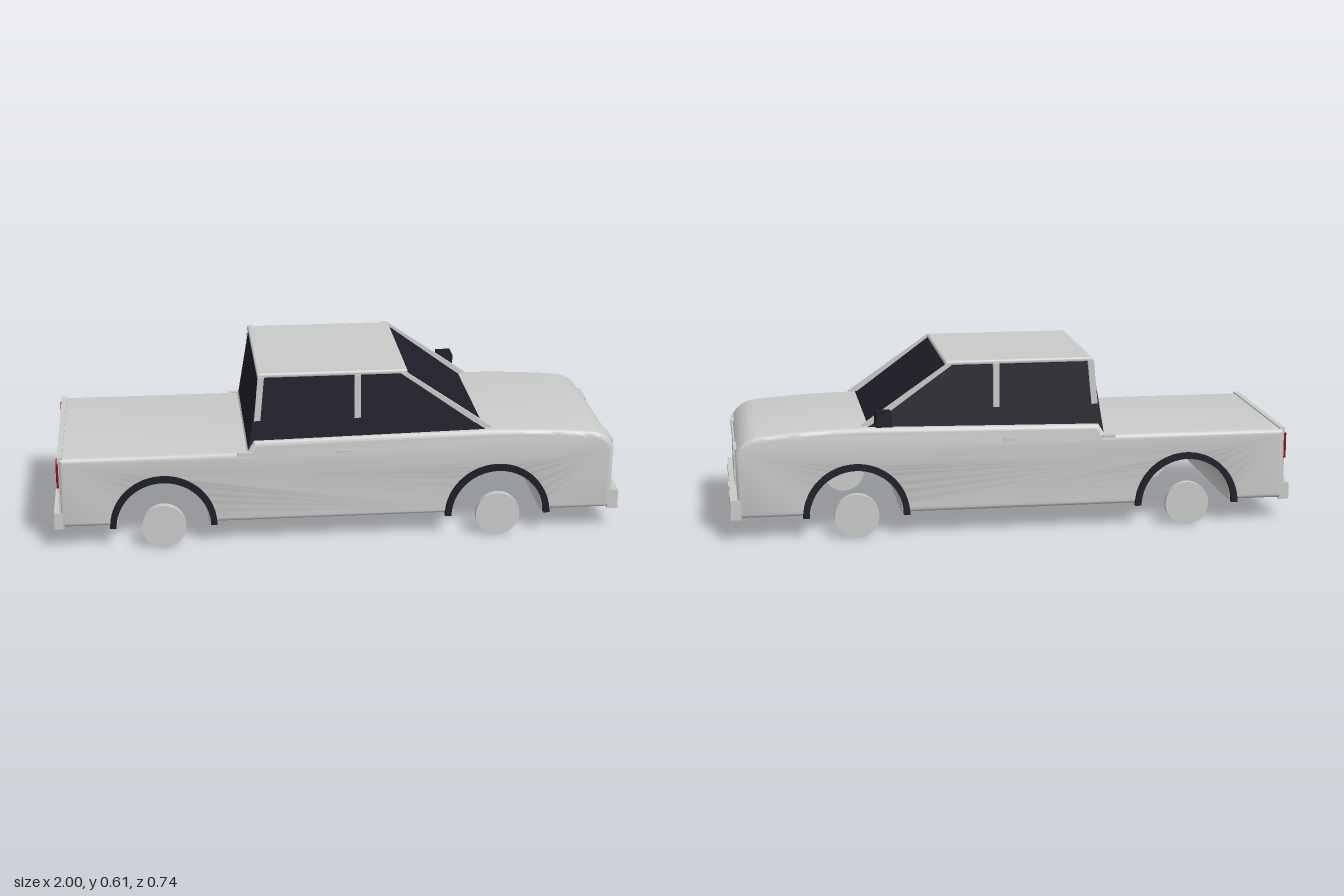
import * as THREE from 'three';
import { toCreasedNormals } from 'three/addons/utils/BufferGeometryUtils.js';
import { RoundedBoxGeometry } from 'three/addons/geometries/RoundedBoxGeometry.js';
import { ConvexGeometry } from 'three/addons/geometries/ConvexGeometry.js';

export function createModel() {
  const paint = new THREE.MeshStandardMaterial({ name: 'silver paint', color: 0xc9cbc9 });
  const dark = new THREE.MeshStandardMaterial({ name: 'dark glass and trim', color: 0x1d1d28 });
  const red = new THREE.MeshStandardMaterial({ name: 'tail light red', color: 0x8a0a1a });

  const model = new THREE.Group();
  model.name = 'pickup';
  const car = new THREE.Group();
  car.name = 'car';
  car.position.z = 0.03; // the single mirror shifts the centre
  model.add(car);

  const add = (name, geometry, material) => {
    const mesh = new THREE.Mesh(geometry, material);
    mesh.name = name;
    car.add(mesh);
    return mesh;
  };
  // Box from its limits on each axis
  const box = (name, material, [x0, x1], [y0, y1], [z0, z1]) => {
    const mesh = add(name, new THREE.BoxGeometry(x1 - x0, y1 - y0, z1 - z0), material);
    mesh.position.set((x0 + x1) / 2, (y0 + y1) / 2, (z0 + z1) / 2);
    return mesh;
  };
  const sideBox = (name, material, xs, ys, [a, b]) => {
    box(name + 'Left', material, xs, ys, [a, b]);
    box(name + 'Right', material, xs, ys, [-b, -a]);
  };

  const axles = [-0.62, 0.56];
  const floorY = 0.08;

  // Body: side profile with open wheel arches, rounded along both sides
  const profile = new THREE.Shape();
  profile.moveTo(-0.978, floorY);
  for (const x of axles) {
    profile.lineTo(x - 0.157, floorY);
    profile.absarc(x, floorY, 0.157, Math.PI, 0, true);
  }
  profile.lineTo(0.97, floorY);
  profile.lineTo(0.975, 0.31);
  profile.quadraticCurveTo(0.95, 0.36, 0.9, 0.368);
  profile.quadraticCurveTo(0.74, 0.386, 0.52, 0.388);
  profile.lineTo(-0.3, 0.374);
  profile.lineTo(-0.325, 0.334);
  profile.lineTo(-0.978, 0.334);
  profile.closePath();
  const bevel = 0.018;
  const body = new THREE.ExtrudeGeometry(profile, {
    depth: 0.652 - 2 * bevel, curveSegments: 24, bevelEnabled: true,
    bevelThickness: bevel, bevelSize: bevel, bevelOffset: -bevel, bevelSegments: 4,
  });
  body.translate(0, 0, -0.326 + bevel);
  add('body', toCreasedNormals(body, 0.6), paint);

  // Glass cabin, narrowing toward the roof
  const corners = [];
  for (const s of [-1, 1]) {
    for (const [x, y, z] of [[-0.322, 0.33, 0.311], [0.53, 0.375, 0.308], [0.235, 0.593, 0.291], [-0.28, 0.593, 0.291]]) {
      corners.push(new THREE.Vector3(x, y, s * z));
    }
  }
  add('cabinGlass', new ConvexGeometry(corners), dark);
  const roof = add('roof', new RoundedBoxGeometry(0.525, 0.018, 0.556, 3, 0.008), paint);
  roof.position.set(-0.022, 0.599, 0.0);

  // Pillars: thin upright plates along the side windows
  const pillars = {
    frontPillar: [[0.215, 0.602], [0.237, 0.602], [0.54, 0.392], [0.505, 0.392]],
    middlePillar: [[0.052, 0.6], [0.074, 0.6], [0.074, 0.445], [0.052, 0.445]],
    rearPillar: [[-0.283, 0.602], [-0.262, 0.602], [-0.276, 0.445], [-0.298, 0.445]],
  };
  for (const [name, points] of Object.entries(pillars)) {
    const shape = new THREE.Shape(points.map(([x, y]) => new THREE.Vector2(x, y)));
    for (const s of [-1, 1]) {
      const plate = new THREE.ExtrudeGeometry(shape, { depth: 0.014, bevelEnabled: false });
      plate.translate(0, 0, s * 0.298 - 0.007);
      add(name + (s > 0 ? 'Left' : 'Right'), plate, paint);
    }
  }

  // Wheels and dark arch trims
  for (const x of axles) {
    const arch = new THREE.Shape();
    arch.absarc(x, 0.075, 0.187, 0, Math.PI, false);
    arch.absarc(x, 0.075, 0.165, Math.PI, 0, true);
    arch.closePath();
    for (const s of [-1, 1]) {
      const trim = new THREE.ExtrudeGeometry(arch, { depth: 0.022, bevelEnabled: false, curveSegments: 24 });
      trim.translate(0, 0, s * 0.328 - 0.011);
      add('archTrim', toCreasedNormals(trim, 0.6), dark);
      const wheel = add('wheel', new THREE.CylinderGeometry(0.078, 0.078, 0.024, 40), paint);
      wheel.rotation.x = Math.PI / 2;
      wheel.position.set(x, 0.078, s * 0.33);
    }
  }

  // Front end
  box('frontBumper', paint, [0.96, 0.997], [0.075, 0.146], [-0.323, 0.323]);
  box('frontPlate', paint, [0.99, 1], [0.093, 0.132], [-0.066, 0.066]);
  box('grille', paint, [0.95, 0.979], [0.173, 0.313], [-0.2, 0.2]);
  sideBox('headlight', paint, [0.95, 0.981], [0.281, 0.32], [0.164, 0.277]);

  // Rear end
  box('rearBumper', paint, [-1, -0.965], [0.075, 0.135], [-0.323, 0.323]);
  box('tailgate', paint, [-0.981, -0.962], [0.13, 0.339], [-0.318, 0.318]);
  box('rearPlate', paint, [-0.986, -0.98], [0.14, 0.18], [-0.066, 0.066]);
  sideBox('tailLight', red, [-0.986, -0.978], [0.228, 0.318], [0.262, 0.32]);

  // Door handles and the single door mirror
  for (const x of [-0.335, 0.015]) {
    sideBox('doorHandle', paint, [x - 0.024, x + 0.024], [0.325, 0.337], [0.31, 0.331]);
  }
  box('mirror', dark, [0.44, 0.495], [0.406, 0.453], [-0.402, -0.328]);

  return model;
}
